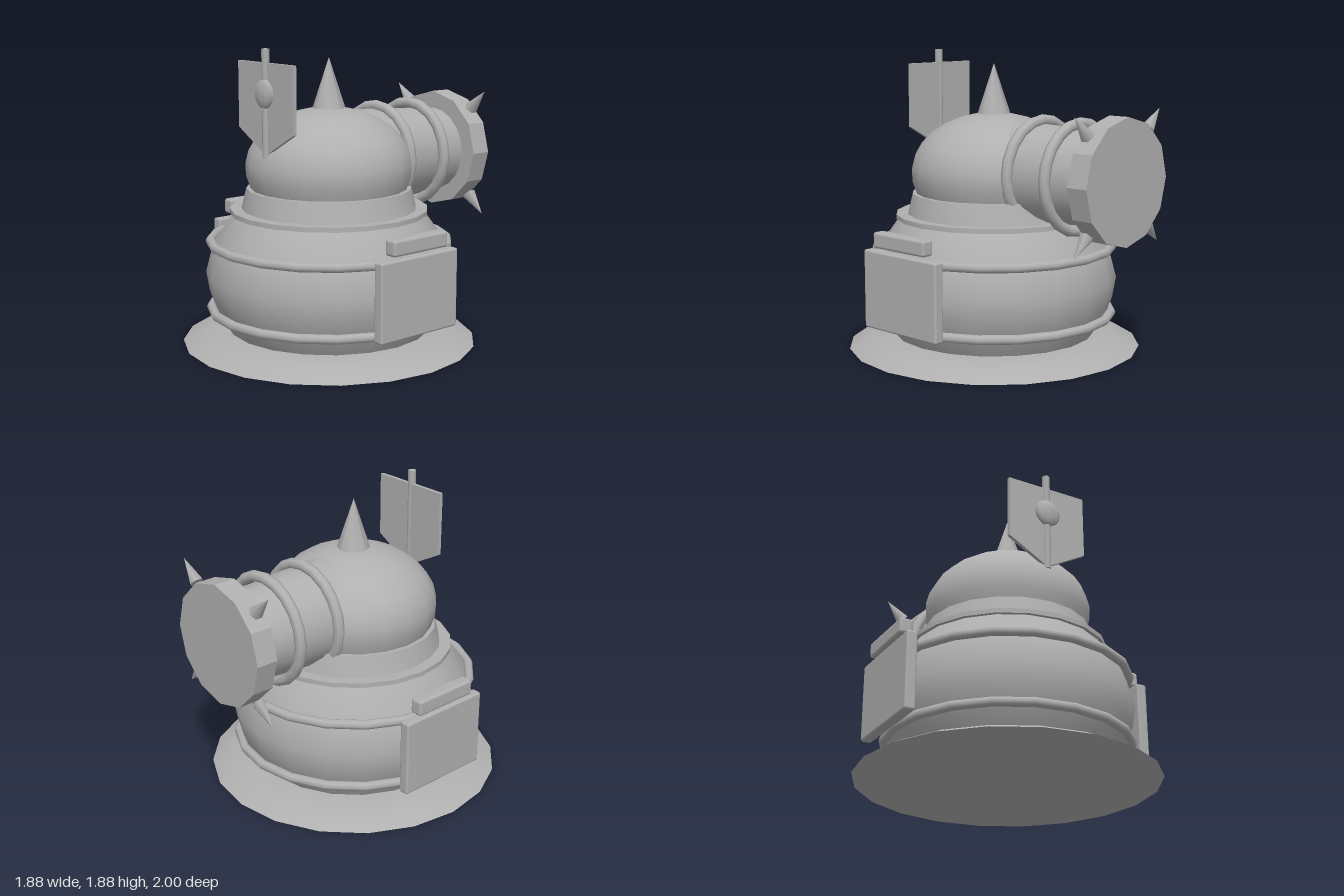
import * as THREE from 'three';
import { toCreasedNormals } from 'three/addons/utils/BufferGeometryUtils.js';
import { RoundedBoxGeometry } from 'three/addons/geometries/RoundedBoxGeometry.js';

const SIDES = 20;
const AXIS_Z = 0.06; // the upright body stands slightly forward
const PIPE_Y = 1.15;

export function createModel() {
  const model = new THREE.Group();
  const metal = new THREE.MeshStandardMaterial({ color: 0xb0b0b0 });
  metal.name = 'grey metal';

  const add = (name, geometry, x = 0, y = 0, z = 0, parent = model) => {
    const mesh = new THREE.Mesh(geometry, metal);
    mesh.name = name;
    mesh.position.set(x, y, z);
    parent.add(mesh);
    return mesh;
  };
  const turned = (name, profile, crease = 0.7) => {
    const points = profile.map(([r, y]) => new THREE.Vector2(r, y));
    const geometry = toCreasedNormals(new THREE.LatheGeometry(points, SIDES), crease);
    return add(name, geometry, 0, 0, AXIS_Z);
  };

  // Upright body
  turned('base', [[0, 0], [0.94, 0], [0.87, 0.035], [0.79, 0.065], [0.65, 0.085], [0, 0.085]]);
  turned('body', [[0.645, 0.08], [0.72, 0.2], [0.765, 0.32], [0.787, 0.45], [0.735, 0.65], [0.6, 0.84]]);
  turned('collar', [[0.58, 0.83], [0.63, 0.83], [0.63, 0.86], [0, 0.86]]);
  turned('neck', [[0.558, 0.855], [0.525, 0.99], [0, 0.99]]);
  for (const y of [0.217, 0.65]) {
    const band = add('bodyBand', new THREE.TorusGeometry(0.757, 0.03, 8, SIDES), 0, y, AXIS_Z);
    band.rotation.x = Math.PI / 2;
  }

  // Squashed dome with a point on top
  const dome = [[0, 0.985]];
  for (let i = 0; i <= 9; i++) {
    const a = -0.35 + (i / 9) * (Math.PI / 2 + 0.35);
    dome.push([Math.max(0, 0.53 * Math.cos(a)), 1.12 + 0.38 * Math.sin(a)]);
  }
  turned('dome', dome);
  add('domeSpike', new THREE.ConeGeometry(0.108, 0.33, 8), 0, 1.645, AXIS_Z);

  // Side panels with a small block above each
  for (const side of [-1, 1]) {
    add('sidePanel', new RoundedBoxGeometry(0.07, 0.49, 0.625, 2, 0.015), side * 0.805, 0.45, 0.06);
    add('sideBlock', new RoundedBoxGeometry(0.085, 0.1, 0.44, 2, 0.018), side * 0.803, 0.765, 0.06);
  }

  // Tapered rear pipe with hoops
  const pipe = add('rearPipe', new THREE.CylinderGeometry(0.33, 0.275, 0.87, SIDES), 0, 1.147, -0.435);
  pipe.rotation.x = Math.PI / 2;
  for (const z of [-0.345, -0.64]) {
    add('pipeHoop', new THREE.TorusGeometry(0.328, 0.035, 8, SIDES), 0, 1.148, z);
  }

  // Faceted end cap ringed by four diagonal spikes
  const capShape = toCreasedNormals(new THREE.CylinderGeometry(0.385, 0.385, 0.14, 12), 0.2);
  add('endCap', capShape, 0, PIPE_Y, -0.93).rotation.x = Math.PI / 2;
  for (let i = 0; i < 4; i++) {
    const a = Math.PI / 4 + (i * Math.PI) / 2;
    const r = 0.492;
    const spike = add('capSpike', new THREE.ConeGeometry(0.045, 0.17, 6),
      -Math.sin(a) * r, PIPE_Y + Math.cos(a) * r, -0.927);
    spike.rotation.z = a;
  }

  // Pointed crest plate with its rod and boss
  const crest = new THREE.Group();
  crest.name = 'crest';
  model.add(crest);
  const outline = new THREE.Shape([
    [-0.27, 1.8], [-0.27, 1.39], [0, 1.24], [0.27, 1.39], [0.27, 1.8],
  ].map(([x, y]) => new THREE.Vector2(x, y)));
  add('crestPlate', new THREE.ExtrudeGeometry(outline, { depth: 0.024, bevelEnabled: false }),
    0, 0, 0.536, crest);
  add('crestRod', new THREE.CylinderGeometry(0.025, 0.025, 0.66, 8), 0, 1.555, 0.555, crest);
  const boss = add('crestBoss', new THREE.SphereGeometry(0.09, 8, 8), 0, 1.615, 0.568, crest);
  boss.scale.z = 0.35;

  return model;
}
